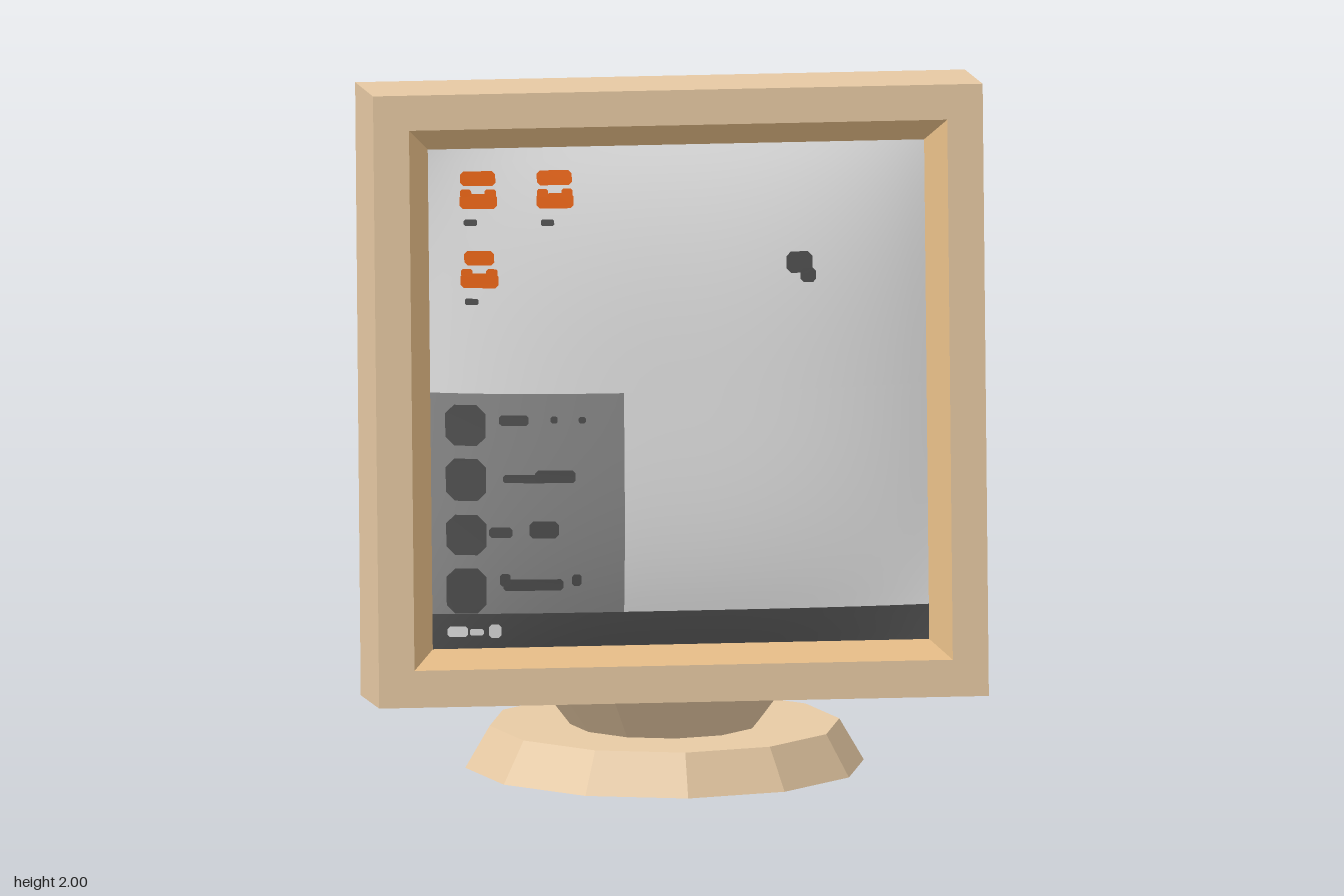
import * as THREE from 'three';

const mat = (name, color) => {
  const m = new THREE.MeshStandardMaterial({ color });
  m.name = name;
  return m;
};

export function createModel() {
  const group = new THREE.Group();
  const beige = mat('case beige', 0xe7caa4);
  const tan = mat('bezel tan', 0xe6bd87);
  const under = mat('underside grey', 0x707070);
  const dark = mat('dark grey', 0x505050);
  const light = mat('screen light grey', 0xe6e6e6);
  const grey = mat('menu grey', 0x8b8b8b);
  const orange = mat('icon orange', 0xe9640e);

  const add = (name, geometry, material, parent = group) => {
    const mesh = new THREE.Mesh(geometry, material);
    mesh.name = name;
    parent.add(mesh);
  };

  // Tilted front plane of the housing
  const frontZ = (y) => 0.725 - (y - 0.26) * 0.0862;

  // Ring of four corners, counterclockwise from the front
  const ring = (hw, y0, z0, y1, z1) => [[-hw, y0, z0], [hw, y0, z0], [hw, y1, z1], [-hw, y1, z1]];
  const EDGE = 0.06;
  const screenRing = ring(0.71, 0.415, frontZ(0.415) - EDGE, 1.835, frontZ(1.835) - EDGE);
  const openingRing = ring(0.77, 0.365, frontZ(0.365), 1.9, frontZ(1.9));
  const frontRing = ring(0.872, 0.26, 0.725, 2.0, 0.575);
  const middleRing = ring(0.872, 0.22, 0.28, 1.965, 0.145);
  const backRing = ring(0.688, 0.225, -0.705, 1.59, -0.825);

  // Flat quads joined into one geometry
  const quads = (list) => {
    const g = new THREE.BufferGeometry();
    const pos = list.flatMap(([a, b, c, d]) => [a, b, c, a, c, d].flat());
    g.setAttribute('position', new THREE.Float32BufferAttribute(pos, 3));
    g.computeVertexNormals();
    return g;
  };
  const band = (a, b) => [0, 1, 2, 3].map((i) => [a[i], b[i], b[(i + 1) % 4], a[(i + 1) % 4]]);

  // Housing: frame, front box, tapered back and grey underside
  const frontBox = band(frontRing, middleRing);
  const rearBox = band(middleRing, backRing);
  const backFace = [backRing[1], backRing[0], backRing[3], backRing[2]];
  add('frontFrame', quads(band(openingRing, frontRing)), beige);
  add('screenBezel', quads(band(screenRing, openingRing)), tan);
  add('housing', quads([...frontBox.slice(1), ...rearBox.slice(1), backFace]), beige);
  add('housingUnderside', quads([frontBox[0], rearBox[0]]), under);

  // Bulged screen: lays a flat geometry onto the curved glass
  const bulge = (u) => 1 - Math.min(1, Math.abs(u)) ** 3;
  const onGlass = (geometry, lift = 0) => {
    const p = geometry.attributes.position;
    for (let i = 0; i < p.count; i++) {
      const x = p.getX(i), y = p.getY(i);
      p.setZ(i, frontZ(y) - EDGE + 0.078 * bulge(x / 0.71) * bulge((y - 1.125) / 0.71) + lift);
    }
    geometry.computeVertexNormals();
    return geometry;
  };
  const screen = new THREE.Group();
  screen.name = 'screen';
  group.add(screen);
  const patch = (name, x0, x1, y0, y1, material) => {
    const n = (d) => Math.max(4, Math.ceil(d / 0.04));
    const g = new THREE.PlaneGeometry(x1 - x0, y1 - y0, n(x1 - x0), n(y1 - y0));
    g.translate((x0 + x1) / 2, (y0 + y1) / 2, 0);
    add(name, onGlass(g), material, screen);
  };
  patch('desktopUpper', -0.71, 0.71, 1.145, 1.835, light);
  patch('desktopRight', -0.165, 0.71, 0.515, 1.145, light);
  patch('menuPanel', -0.71, -0.165, 0.515, 1.145, grey);
  patch('taskbar', -0.71, 0.71, 0.415, 0.515, dark);

  // Small painted rectangle with clipped corners
  const mark = (name, x0, x1, y0, y1, material) => {
    const c = 0.22 * Math.min(x1 - x0, y1 - y0);
    const outline = [
      [x0 + c, y0], [x1 - c, y0], [x1, y0 + c], [x1, y1 - c],
      [x1 - c, y1], [x0 + c, y1], [x0, y1 - c], [x0, y0 + c],
    ].map(([x, y]) => new THREE.Vector2(x, y));
    add(name, onGlass(new THREE.ShapeGeometry(new THREE.Shape(outline)), 0.005), material, screen);
  };

  // Desktop icons: bust with head, shoulders and a short label
  for (const [x, y, head] of [[-0.57, 1.72, 0.05], [-0.352, 1.72, 0.05], [-0.57, 1.497, 0.042]]) {
    mark('iconHead', x - head, x + head, y + 0.012, y + 0.053, orange);
    mark('iconBody', x - 0.053, x + 0.053, y - 0.052, y - 0.01, orange);
    for (const s of [-0.035, 0.035]) {
      mark('iconShoulder', x + s - 0.016, x + s + 0.016, y - 0.02, y + 0.002, orange);
    }
    mark('iconLabel', x - 0.042, x - 0.004, y - 0.1, y - 0.082, dark);
  }

  // Pointer
  mark('pointer', 0.305, 0.38, 1.475, 1.535, dark);
  mark('pointerTail', 0.345, 0.39, 1.448, 1.488, dark);

  // Menu rows: symbol bottom and top, then strokes as x0, x1, y0, y1
  const rows = [
    [0.997, 1.113, [[-0.52, -0.437, 1.055, 1.085], [-0.375, -0.355, 1.062, 1.082], [-0.295, -0.275, 1.062, 1.08]]],
    [0.84, 0.96, [[-0.51, -0.4, 0.892, 0.915], [-0.42, -0.305, 0.892, 0.928]]],
    [0.685, 0.8, [[-0.55, -0.485, 0.735, 0.765], [-0.437, -0.353, 0.733, 0.782]]],
    [0.517, 0.647, [[-0.52, -0.49, 0.595, 0.632], [-0.51, -0.34, 0.582, 0.615], [-0.315, -0.288, 0.595, 0.628]]],
  ];
  for (const [y0, y1, strokes] of rows) {
    mark('menuSymbol', -0.67, -0.558, y0, y1, dark);
    for (const stroke of strokes) mark('menuStroke', ...stroke, dark);
  }

  // Taskbar button marks
  mark('taskbarMark', -0.668, -0.61, 0.45, 0.48, light);
  mark('taskbarMark', -0.605, -0.565, 0.453, 0.472, light);
  mark('taskbarMark', -0.55, -0.515, 0.445, 0.485, light);

  // Faceted stand
  const facets = (rTop, rBottom, y0, y1) => {
    const g = new THREE.CylinderGeometry(rTop, rBottom, y1 - y0, 12).toNonIndexed();
    g.computeVertexNormals();
    return g.translate(0, (y0 + y1) / 2, 0.255);
  };
  add('standBase', facets(0.5, 0.57, 0, 0.12), [beige, beige, under]);
  add('standNeck', facets(0.4, 0.27, 0.12, 0.29), beige);

  return group;
}
